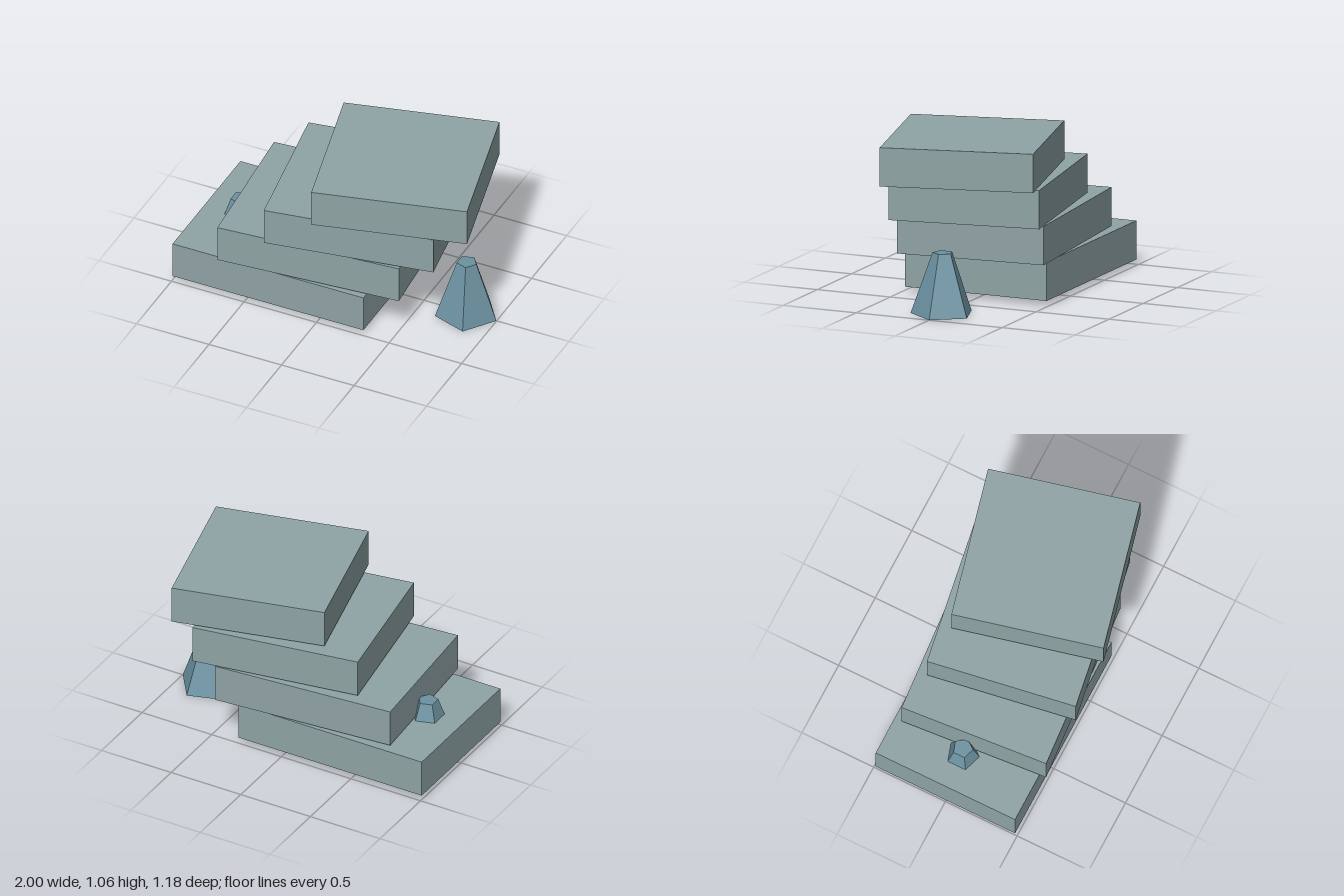
import * as THREE from 'three';

const slabMaterial = new THREE.MeshStandardMaterial({ color: 0x8fa3a5 });
slabMaterial.name = 'grey stone';
const footMaterial = new THREE.MeshStandardMaterial({ color: 0x6c92a2 });
footMaterial.name = 'blue stone';

function addPart(group, name, geometry, material, x, y, turn) {
  const mesh = new THREE.Mesh(geometry, material);
  mesh.name = name;
  mesh.position.set(x, y, 0);
  mesh.rotation.y = turn;
  group.add(mesh);
}

// Tapered five-sided post with flat facets, one corner towards +x
function postGeometry() {
  const geometry = new THREE.CylinderGeometry(0.065, 0.2025, 0.39, 5).toNonIndexed();
  geometry.computeVertexNormals();
  return geometry;
}

export function createModel() {
  const group = new THREE.Group();
  group.name = 'slabStack';

  // Four stacked slabs, each shorter, shifted and turned a little further
  for (let i = 0; i < 4; i++) {
    const slab = new THREE.BoxGeometry(1.316 - 0.109 * i, 0.247, 0.971);
    addPart(group, `slab${i + 1}`, slab, slabMaterial, -0.342 + 0.2377 * i, 0.154 + 0.26 * i, 0.08 * i);
  }

  // Posts at both ends
  addPart(group, 'rightPost', postGeometry(), footMaterial, -0.762, 0.195, Math.PI / 2);
  addPart(group, 'leftPost', postGeometry(), footMaterial, 0.796, 0.195, Math.PI / 2);

  return group;
}
